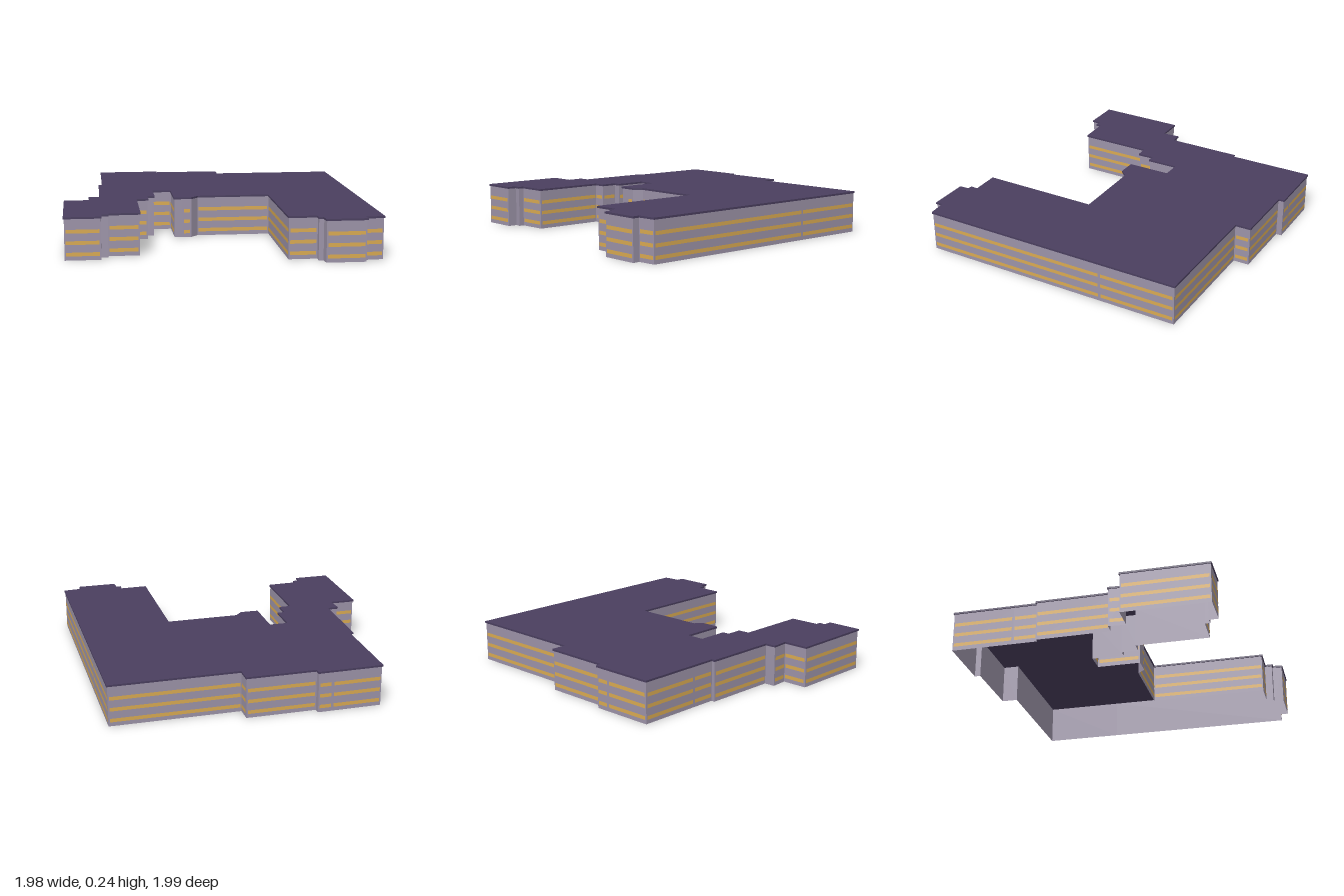
import * as THREE from 'three';
import { mergeGeometries } from 'three/addons/utils/BufferGeometryUtils.js';

// Roof outline as [x, z], clockwise seen from above.
// A third value forces windows on (1) or off (0) for the wall starting there.
const OUTLINE = [
  [-0.487, -0.998], [-0.2, -0.948], [-0.115, -0.933], [-0.12, -0.9], [0.274, -0.828], [0.258, -0.737],
  [0.987, -0.604], [0.905, -0.148], [0.705, 0.96], [0.598, 0.949], [0.593, 0.992], [0.364, 0.95],
  [0.37, 0.893], [0.343, 0.886], [0.353, 0.843], [0.194, 0.816], [0.316, 0.136], [-0.104, 0.061],
  [-0.152, 0.098, 1], [-0.205, 0.088, 0], [-0.258, 0.077], [-0.215, -0.173], [-0.322, -0.194],
  [-0.354, -0.008], [-0.396, -0.019], [-0.412, 0.077], [-0.481, 0.066], [-0.556, 0.487],
  [-0.731, 0.46], [-0.737, 0.492], [-0.774, 0.481], [-0.785, 0.535], [-0.992, 0.497],
  [-0.902, -0.008], [-0.753, 0.019], [-0.742, -0.082], [-0.678, -0.072], [-0.598, -0.503],
  [-0.577, -0.497], [-0.552, -0.635],
];
const WALL_TOP = 0.232;
const ROOF_TOP = 0.243;
const OVERHANG = 0.005;
const WINDOW_ROWS = [0.034, 0.098, 0.162];
const WINDOW_HEIGHT = 0.021;

function normalOf(a, b) {
  const l = Math.hypot(b[0] - a[0], b[1] - a[1]);
  return [(b[1] - a[1]) / l, -(b[0] - a[0]) / l];
}

// Mitred inset of the closed outline
function inset(points, d) {
  const n = points.length;
  return points.map((p, i) => {
    const u = normalOf(points[(i + n - 1) % n], p);
    const v = normalOf(p, points[(i + 1) % n]);
    const k = d / (1 + u[0] * v[0] + u[1] * v[1]);
    return [p[0] - (u[0] + v[0]) * k, p[1] - (u[1] + v[1]) * k];
  });
}

// Upright rectangle over the segment a-b, facing outwards
function panel(a, b, y, height, margin, lift) {
  const [nx, nz] = normalOf(a, b);
  const length = Math.hypot(b[0] - a[0], b[1] - a[1]) - 2 * margin;
  const g = new THREE.PlaneGeometry(length, height);
  g.rotateY(Math.atan2(nx, nz));
  g.translate((a[0] + b[0]) / 2 + nx * lift, y, (a[1] + b[1]) / 2 + nz * lift);
  return g;
}

export function createModel() {
  const wallMat = new THREE.MeshStandardMaterial({ color: 0x9c93a8, side: THREE.DoubleSide });
  wallMat.name = 'lavender wall';
  const roofMat = new THREE.MeshStandardMaterial({ color: 0x4a3f5f });
  roofMat.name = 'dark purple roof';
  const windowMat = new THREE.MeshStandardMaterial({ color: 0xd9aa52 });
  windowMat.name = 'amber window';

  const group = new THREE.Group();
  group.name = 'building';
  const add = (name, geometry, material) => {
    const mesh = new THREE.Mesh(geometry, material);
    mesh.name = name;
    group.add(mesh);
  };

  // Open-bottomed walls with three window bands on every longer wall
  const walls = [];
  const windows = [];
  const base = inset(OUTLINE, OVERHANG);
  base.forEach((a, i) => {
    const b = base[(i + 1) % base.length];
    walls.push(panel(a, b, WALL_TOP / 2, WALL_TOP, 0, 0));
    const long = Math.hypot(b[0] - a[0], b[1] - a[1]) > 0.065;
    if (OUTLINE[i][2] ?? long) {
      for (const y of WINDOW_ROWS) windows.push(panel(a, b, y, WINDOW_HEIGHT, 0.008, 0.002));
    }
  });
  add('walls', mergeGeometries(walls), wallMat);
  add('windowBands', mergeGeometries(windows), windowMat);

  // Flat roof slab with a slight overhang
  const shape = new THREE.Shape(OUTLINE.map(([x, z]) => new THREE.Vector2(x, -z)));
  const roof = new THREE.ExtrudeGeometry(shape, { depth: ROOF_TOP - WALL_TOP, bevelEnabled: false });
  roof.rotateX(-Math.PI / 2);
  roof.translate(0, WALL_TOP, 0);
  add('roof', roof, roofMat);

  return group;
}
